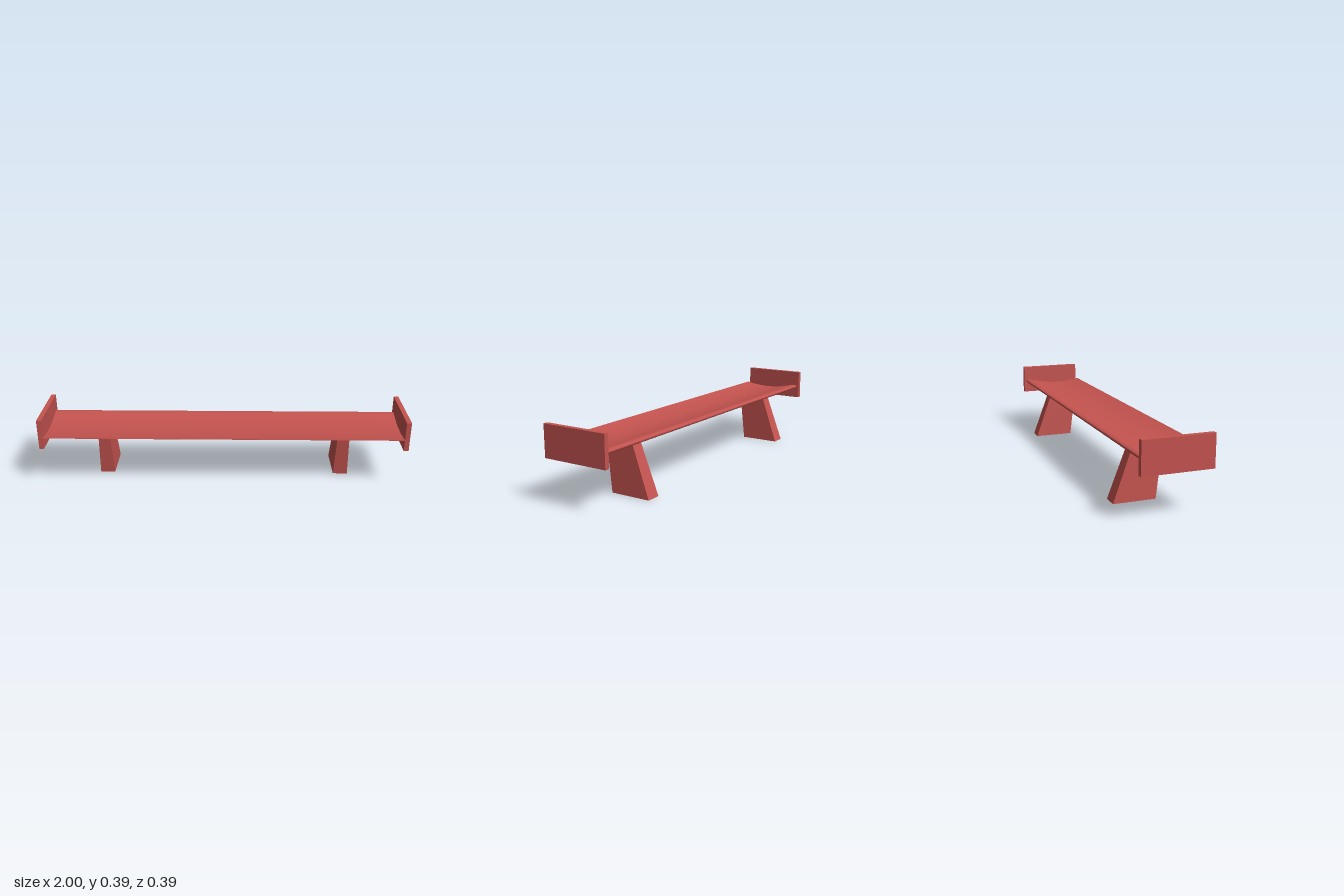
import * as THREE from 'three';
import { toCreasedNormals } from 'three/addons/utils/BufferGeometryUtils.js';

const red = new THREE.MeshStandardMaterial({ color: 0xc4534f });
red.name = 'red';

function part(name, geometry) {
  const mesh = new THREE.Mesh(geometry, red);
  mesh.name = name;
  return mesh;
}

// Cambered wing section (z, y): sagging top, rounded rear nose, belly below
function wingGeometry(span) {
  const outline = [
    [0.195, 0.294], [0.14, 0.284], [0.06, 0.278], [-0.02, 0.281], [-0.09, 0.293],
    [-0.135, 0.303], [-0.156, 0.304], [-0.167, 0.296], [-0.158, 0.284], [-0.12, 0.270],
    [-0.06, 0.256], [0, 0.250], [0.06, 0.254], [0.13, 0.269], [0.195, 0.293],
  ].map(([z, y]) => new THREE.Vector2(z, y));
  const section = new THREE.Shape(new THREE.SplineCurve(outline).getPoints(56));
  const geometry = new THREE.ExtrudeGeometry(section, { depth: span, bevelEnabled: false });
  geometry.rotateY(-Math.PI / 2).translate(span / 2, 0, 0);
  return toCreasedNormals(geometry, 0.7);
}

// Tapered leg: a box whose top and bottom corners are moved to the raked outline
function legGeometry() {
  const geometry = new THREE.BoxGeometry(1, 1, 1);
  const pos = geometry.attributes.position;
  for (let i = 0; i < pos.count; i++) {
    const top = pos.getY(i) > 0;
    const front = pos.getZ(i) > 0;
    const halfWidth = top ? 0.032 : 0.04;
    const z = top ? (front ? 0.063 : -0.095) : (front ? 0.028 : -0.194);
    pos.setXYZ(i, Math.sign(pos.getX(i)) * halfWidth, top ? 0.27 : 0, z);
  }
  geometry.computeVertexNormals();
  return geometry;
}

export function createModel() {
  const model = new THREE.Group();
  model.name = 'rearWing';
  model.add(part('wing', wingGeometry(1.95)));

  // Mirrored end plates and legs
  for (const [side, s] of [['left', 1], ['right', -1]]) {
    const plate = part(side + 'EndPlate', new THREE.BoxGeometry(0.026, 0.166, 0.362));
    plate.position.set(s * 0.987, 0.307, 0);
    const leg = part(side + 'Leg', legGeometry());
    leg.position.x = s * 0.665;
    model.add(plate, leg);
  }
  return model;
}
